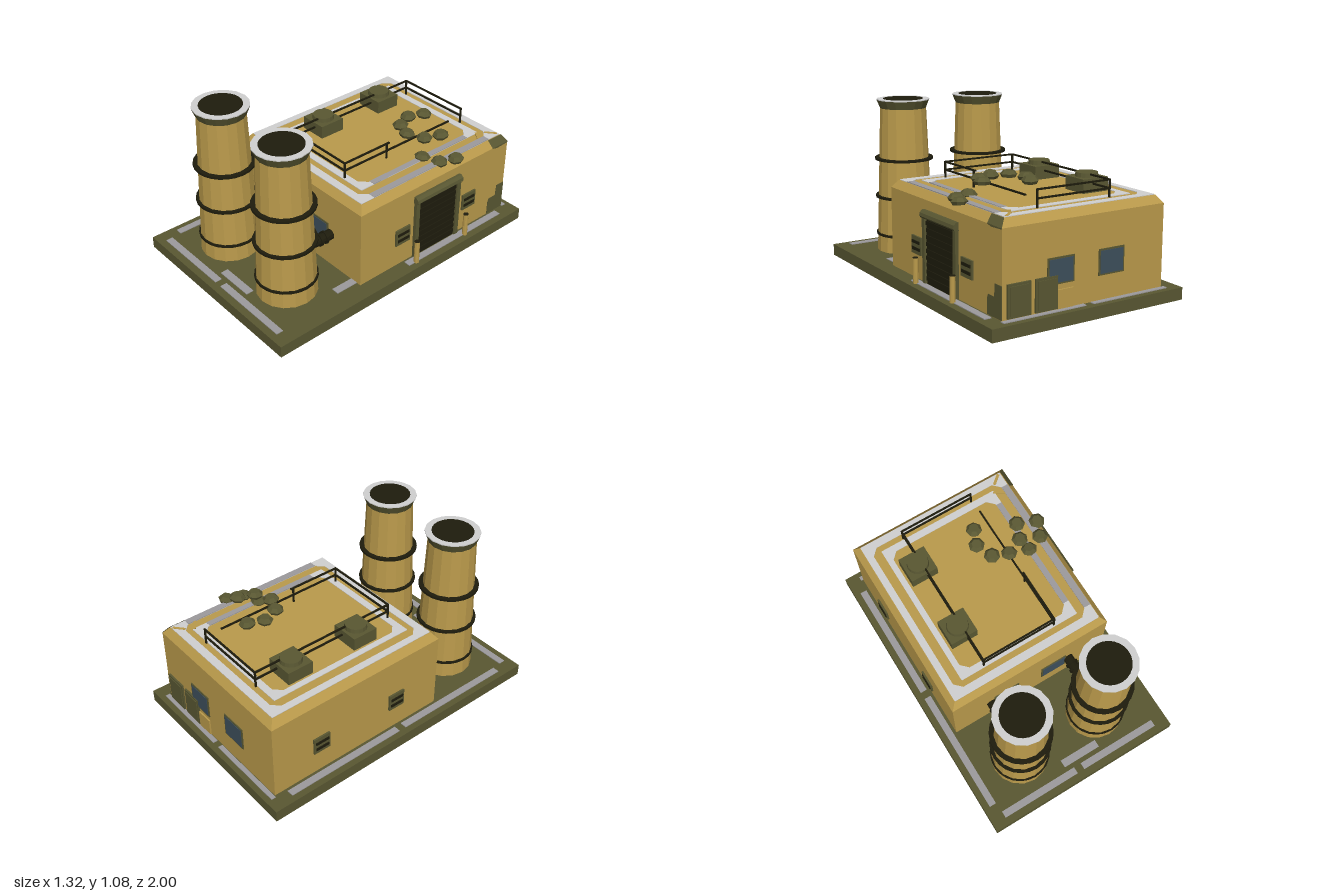
import * as THREE from 'three';

const mat = (name, color, side = THREE.FrontSide) => {
  const m = new THREE.MeshStandardMaterial({ color, side, flatShading: true });
  m.name = name;
  return m;
};

export function createModel() {
  const tan = mat('sand wall', 0xba9a4b);
  const olive = mat('olive', 0x595732, THREE.DoubleSide);
  const dark = mat('dark metal', 0x1e1c0d);
  const pale = mat('pale trim', 0xd0d0d0);
  const grey = mat('ground paint', 0x9c9a9c);
  const glass = mat('window glass', 0x3d4f5c);

  const model = new THREE.Group();
  model.name = 'powerStation';
  const add = (name, geo, m, x = 0, y = 0, z = 0, parent = model) => {
    const mesh = new THREE.Mesh(geo, m);
    mesh.name = name;
    mesh.position.set(x, y, z);
    parent.add(mesh);
    return mesh;
  };
  // box given by its limits on each axis
  const box = (name, m, x0, x1, y0, y1, z0, z1, parent) =>
    add(name, new THREE.BoxGeometry(x1 - x0, y1 - y0, z1 - z0), m,
      (x0 + x1) / 2, (y0 + y1) / 2, (z0 + z1) / 2, parent);
  const cyl = (rTop, rBottom, h, n = 16) => new THREE.CylinderGeometry(rTop, rBottom, h, n);

  // ground slab, a tray open underneath, and painted strips
  const slab = new THREE.BoxGeometry(1.32, 0.075, 2);
  const corners = Array.from(slab.index.array);
  corners.splice(18, 6); // drop the bottom face
  slab.setIndex(corners);
  slab.clearGroups();
  add('groundSlab', slab, olive, 0, 0.0375, 0);
  [
    [-0.62, -0.575, -0.855, -0.03], [-0.62, -0.575, 0.02, 0.845], [0.57, 0.615, -0.855, -0.03],
    [-0.57, -0.03, 0.91, 0.955], [0.02, 0.565, 0.91, 0.955],
    [-0.57, -0.03, -0.965, -0.935], [0.02, 0.565, -0.965, -0.935],
    [0.475, 0.525, 0.32, 0.47], [-0.08, 0.18, 0.83, 0.88],
  ].forEach(([x0, x1, z0, z1]) => box('groundStrip', grey, x0, x1, 0.076, 0.081, z0, z1));

  // main hall: a box with its upper edge bevelled
  const hall = new THREE.BoxGeometry(1.11, 0.549, 1.25, 1, 2, 1);
  const p = hall.attributes.position;
  for (let i = 0; i < p.count; i++) {
    if (p.getY(i) > 0.2) p.setXYZ(i, p.getX(i) * 0.935, p.getY(i), p.getZ(i) * 0.945);
    else if (p.getY(i) > -0.1) p.setY(i, 0.2285);
  }
  add('hall', hall, tan, 0, 0.3515, -0.305);

  // roof bands with cut inner corners, the right-hand runs worn to grey
  const octagon = (path, hx, hz, c) => {
    [[-hx + c, -hz], [hx - c, -hz], [hx, -hz + c], [hx, hz - c],
      [hx - c, hz], [-hx + c, hz], [-hx, hz - c], [-hx, -hz + c]]
      .forEach(([x, y], i) => (i ? path.lineTo(x, y) : path.moveTo(x, y)));
    path.closePath();
    return path;
  };
  [[0.515, 0.588, 0.045, 0.052], [0.413, 0.497, 0.038, 0.046]].forEach(([hx, hz, wx, wz]) => {
    const shape = octagon(new THREE.Shape(), hx, hz, 0.004);
    shape.holes.push(octagon(new THREE.Path(), hx - wx, hz - wz, 0.045));
    const geo = new THREE.ExtrudeGeometry(shape, { depth: 0.004, bevelEnabled: false });
    geo.rotateX(-Math.PI / 2);
    add('roofBand', geo, pale, 0, 0.6265, -0.305);
    box('wornRoofBand', grey, hx - wx, hx, 0.628, 0.633, -0.305 - hz + 0.1, -0.305 + hz - 0.1);
  });

  // roof ventilators
  [-0.575, -0.095].forEach((z) => {
    box('ventilatorBox', olive, -0.36, -0.18, 0.627, 0.71, z - 0.086, z + 0.086);
    add('ventilatorCap', cyl(0.066, 0.07, 0.028), olive, -0.27, 0.722, z);
  });

  // roof railing, broken along the right side
  const t = 0.005;
  [0.68, 0.73].forEach((y) => {
    [-0.81, 0.178].forEach((z) => box('crossRail', dark, -0.25, 0.25, y - t, y + t, z - t, z + t));
    box('leftRail', dark, -0.25 - t, -0.25 + t, y - t, y + t, -0.81, 0.178);
    box('rightRail', dark, 0.25 - t, 0.25 + t, y - t, y + t, y > 0.7 ? -0.18 : -0.7, 0.178);
  });
  [[-0.25, -0.81], [0.25, -0.81], [-0.25, 0.178], [0.25, 0.178], [0.25, -0.16]]
    .forEach(([x, z]) => box('railPost', dark, x - t, x + t, 0.627, 0.735, z - t, z + t));

  // rubble lumps on the roof and over its edge
  const lumpProfile = [[0, -0.021], [0.042, -0.021], [0.052, -0.002], [0.032, 0.021], [0, 0.021]]
    .map(([r, y]) => new THREE.Vector2(r, y));
  [
    [0.14, -0.585, 1], [0.10, -0.485, 1], [0.145, -0.375, 1], [0.245, -0.335, 1], [0.35, -0.38, 1],
    [0.39, -0.48, 1], [0.39, -0.33, 0], [0.495, -0.37, 0], [0.535, -0.47, 0],
  ].forEach(([x, z, high], i) => {
    const lump = add('rubble', new THREE.LatheGeometry(lumpProfile, 7), olive, x, high ? 0.735 : 0.637, z);
    lump.rotation.set(0.08 * ((i % 3) - 1), i * 1.3, 0.06 * ((i % 2) * 2 - 1));
  });

  // loading door in the right wall
  box('doorPanel', dark, 0.55, 0.562, 0.077, 0.48, -0.465, -0.135);
  for (let i = 0; i < 9; i++) {
    const y = 0.1 + i * 0.042;
    box('doorSlat', dark, 0.56, 0.568, y, y + 0.024, -0.46, -0.14);
  }
  [[-0.492, -0.462], [-0.138, -0.108]].forEach(([z0, z1]) =>
    box('doorJamb', olive, 0.55, 0.577, 0.077, 0.48, z0, z1));
  const lintel = new THREE.Shape([[0.55, 0.475], [0.58, 0.475], [0.592, 0.488], [0.588, 0.508], [0.572, 0.523], [0.55, 0.523]]
    .map(([x, y]) => new THREE.Vector2(x, y)));
  add('doorLintel', new THREE.ExtrudeGeometry(lintel, { depth: 0.39, bevelEnabled: false }), olive, 0, 0, -0.495);

  // bollards beside the door
  [-0.52, -0.09].forEach((z) => {
    add('bollard', cyl(0.017, 0.017, 0.155, 10), tan, 0.613, 0.1545, z);
    add('bollardCap', cyl(0.017, 0.017, 0.003, 10), dark, 0.613, 0.2335, z);
  });

  // louvred vents on both side walls
  [-1, 1].forEach((s) => [-0.59, -0.015].forEach((z) => {
    const vent = new THREE.Group();
    vent.name = 'wallVent';
    vent.position.set(s * 0.56, 0.285, z);
    model.add(vent);
    box('ventPlate', olive, -0.007, 0.007, -0.055, 0.055, -0.058, 0.058, vent);
    [-0.022, 0.02].forEach((y) => box('ventSlot', dark, -0.012, 0.012, y - 0.009, y + 0.009, -0.046, 0.046, vent));
  }));

  // framed windows, front and back
  [[0.32, 1], [-0.93, -1]].forEach(([z, s]) => [-0.175, 0.175].forEach((x) => {
    box('windowFrame', olive, x - 0.09, x + 0.09, 0.222, 0.375, z - 0.006, z + 0.006);
    box('windowGlass', glass, x - 0.08, x + 0.08, 0.232, 0.365, z + s * 0.004 - 0.005, z + s * 0.004 + 0.005);
  }));

  // low panels on the back wall
  [[0.375, 0.525], [0.2, 0.345]].forEach(([x0, x1]) => {
    box('backPanel', olive, x0, x1, 0.085, 0.275, -0.942, -0.925);
    box('backPanelFace', olive, x0 + 0.012, x1 - 0.012, 0.1, 0.262, -0.947, -0.94);
  });
  box('backLedge', tan, 0.09, 0.2, 0.077, 0.19, -0.94, -0.925);

  // damaged patches at the rear right corner
  const patch = (pts) => {
    const shape = new THREE.Shape(pts.map(([a, b]) => new THREE.Vector2(a, b)));
    const geo = new THREE.ExtrudeGeometry(shape, { depth: 0.006, bevelEnabled: false });
    geo.rotateY(Math.PI / 2);
    add('damagePatch', geo, olive, 0.552);
  };
  patch([[0.79, 0.08], [0.93, 0.08], [0.93, 0.27], [0.865, 0.27], [0.86, 0.195], [0.8, 0.195], [0.79, 0.17]]);
  patch([[0.79, 0.58], [0.83, 0.57], [0.93, 0.575], [0.93, 0.581], [0.79, 0.582]]);
  const bevel = new THREE.BufferGeometry();
  bevel.setAttribute('position', new THREE.Float32BufferAttribute([
    0.557, 0.582, -0.79, 0.557, 0.582, -0.932, 0.521, 0.628, -0.9,
    0.557, 0.582, -0.79, 0.521, 0.628, -0.9, 0.521, 0.628, -0.78], 3));
  bevel.computeVertexNormals();
  add('damagedBevel', bevel, olive);
  [[0.47, -0.86, 0.7], [0.44, -0.77, -0.6]].forEach(([x, z, a]) => {
    add('brokenBandGap', new THREE.BoxGeometry(0.08, 0.006, 0.018), tan, x, 0.629, z).rotation.y = a;
  });

  // twin chimneys with hoops, flared rims and pipes to the hall
  [-0.285, 0.285].forEach((x) => {
    const chimney = new THREE.Group();
    chimney.name = 'chimney';
    chimney.position.set(x, 0, 0.66);
    model.add(chimney);
    add('shaft', cyl(0.15, 0.186, 0.948), tan, 0, 0.551, 0, chimney);
    [0.19, 0.44, 0.69].forEach((y) => add('hoop', cyl(0.19, 0.19, 0.015, 24), dark, 0, y, 0, chimney));
    const flare = [[0.15, 1.02], [0.172, 1.074]].map(([r, y]) => new THREE.Vector2(r, y));
    add('flare', new THREE.LatheGeometry(flare, 16), olive, 0, 0, 0, chimney);
    add('lip', cyl(0.172, 0.172, 0.006), pale, 0, 1.076, 0, chimney);
    add('flueMouth', cyl(0.13, 0.13, 0.004, 24), dark, 0, 1.079, 0, chimney);
    const pipe = add('pipe', cyl(0.034, 0.034, 0.22, 12), dark, 0, 0.305, -0.25, chimney);
    pipe.rotation.x = Math.PI / 2;
    [-0.25, -0.29].forEach((z) => {
      add('pipeCollar', cyl(0.042, 0.042, 0.014, 12), dark, 0, 0.305, z, chimney).rotation.x = Math.PI / 2;
    });
  });

  return model;
}
